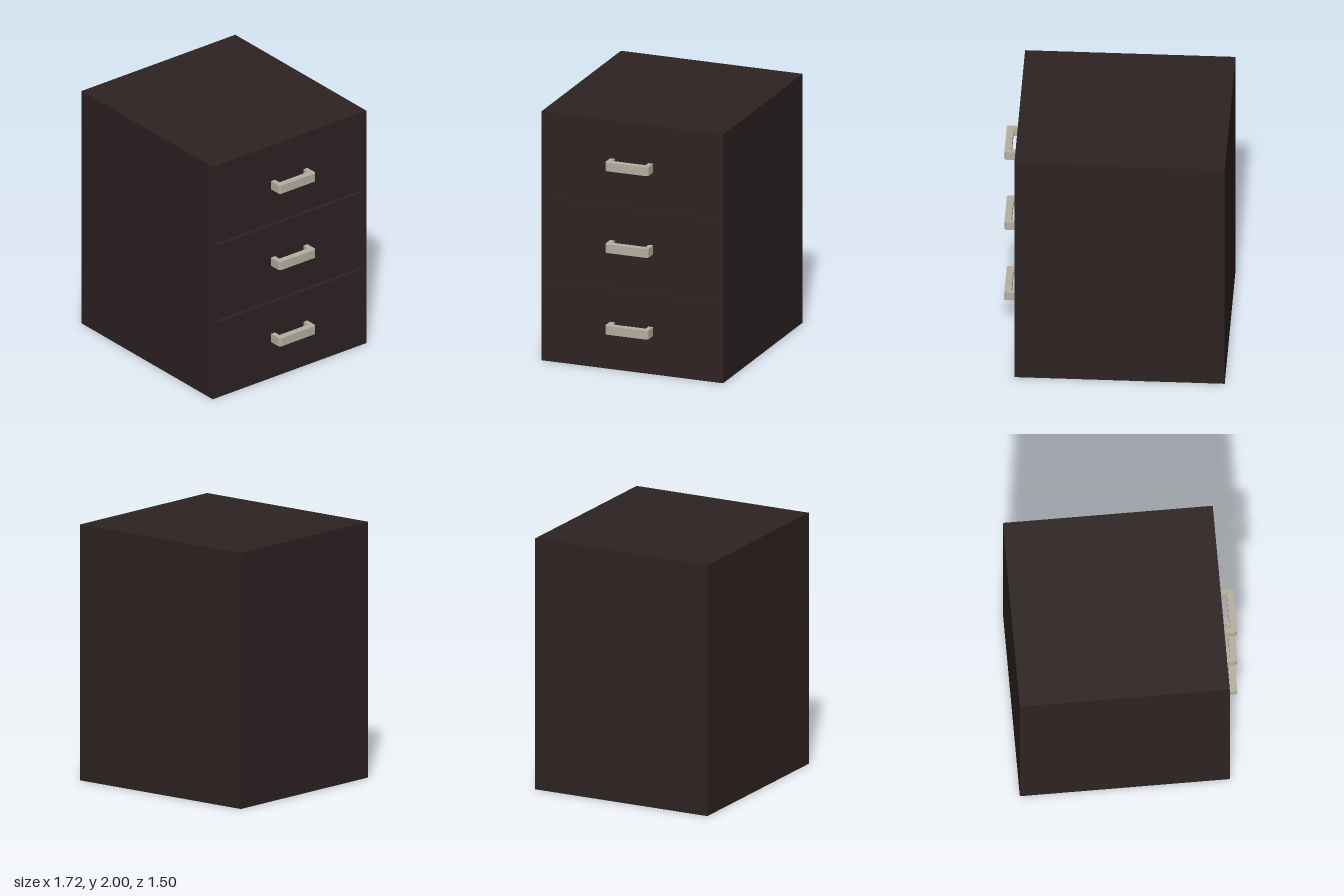
import * as THREE from 'three';
import { toCreasedNormals } from 'three/addons/utils/BufferGeometryUtils.js';

const BACK = -0.86, FACE = 0.75, HALF_DEPTH = 0.75, HEIGHT = 2;
const GROOVE_DEPTH = 0.03;

function rectPoints(x0, y0, x1, y1) {
  return [[x0, y0], [x1, y0], [x1, y1], [x0, y1]].map(([x, y]) => new THREE.Vector2(x, y));
}

// U-shaped pull, drawn in plan and extruded upwards, centred on its height
function handleGeometry() {
  const root = -0.005, out = 0.108, inner = 0.055, half = 0.178, leg = 0.138, r = 0.02;
  const s = new THREE.Shape();
  s.moveTo(root, -half);
  s.lineTo(out - r, -half);
  s.absarc(out - r, -half + r, r, -Math.PI / 2, 0, false);
  s.lineTo(out, half - r);
  s.absarc(out - r, half - r, r, 0, Math.PI / 2, false);
  s.lineTo(root, half);
  s.lineTo(root, leg);
  s.lineTo(inner, leg);
  s.lineTo(inner, -leg);
  s.lineTo(root, -leg);
  s.closePath();
  const height = 0.07;
  const g = new THREE.ExtrudeGeometry(s, { depth: height, bevelEnabled: false, curveSegments: 6 });
  g.translate(0, 0, -height / 2).rotateX(-Math.PI / 2);
  return toCreasedNormals(g, 0.6);
}

export function createModel() {
  const group = new THREE.Group();
  const wood = new THREE.MeshStandardMaterial({ color: 0x2d2322 });
  wood.name = 'darkWood';
  const metal = new THREE.MeshStandardMaterial({ color: 0xb4b0a0 });
  metal.name = 'paleMetal';

  // Cabinet body behind the drawer fronts
  const bodyFront = FACE - GROOVE_DEPTH;
  const body = new THREE.Mesh(new THREE.BoxGeometry(bodyFront - BACK, HEIGHT, HALF_DEPTH * 2), wood);
  body.name = 'cabinetBody';
  body.position.set((bodyFront + BACK) / 2, HEIGHT / 2, 0);
  group.add(body);

  // Drawer face with two recessed gaps, facing +x
  const face = new THREE.Shape(rectPoints(-HALF_DEPTH, 0, HALF_DEPTH, HEIGHT));
  for (const y of [0.663, 1.327]) {
    face.holes.push(new THREE.Path(rectPoints(-0.712, y - 0.017, 0.712, y + 0.017).reverse()));
  }
  const faceGeometry = new THREE.ExtrudeGeometry(face, { depth: GROOVE_DEPTH, bevelEnabled: false });
  faceGeometry.rotateY(Math.PI / 2);
  const drawerFronts = new THREE.Mesh(faceGeometry, wood);
  drawerFronts.name = 'drawerFronts';
  drawerFronts.position.x = bodyFront;
  group.add(drawerFronts);

  // One handle per drawer
  const pull = handleGeometry();
  ['lower', 'middle', 'upper'].forEach((level, i) => {
    const handle = new THREE.Mesh(pull, metal);
    handle.name = `${level}DrawerHandle`;
    handle.position.set(FACE, 0.345 + i * 0.657, 0.004);
    group.add(handle);
  });

  return group;
}
